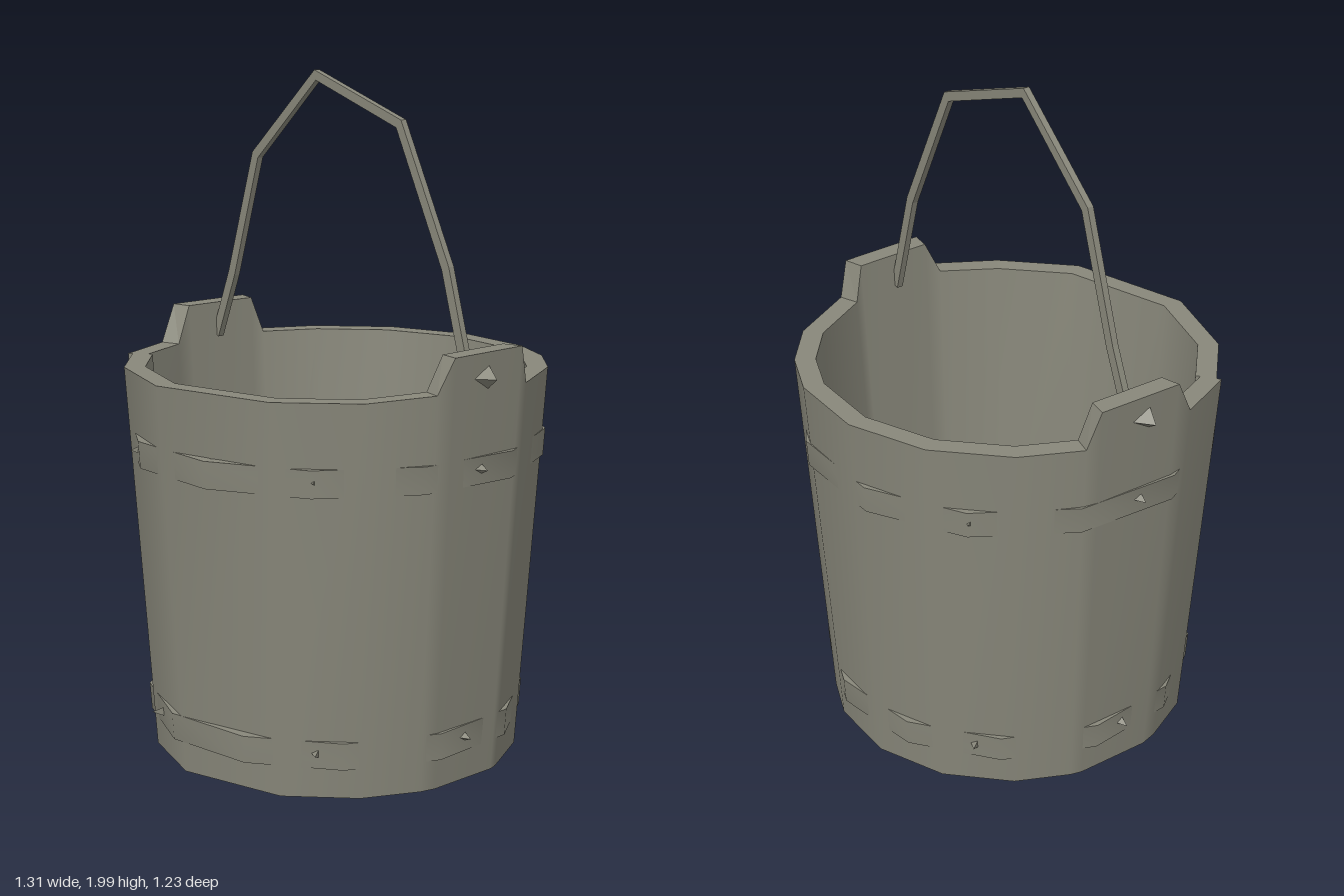
import * as THREE from 'three';
import { mergeGeometries, toCreasedNormals } from 'three/addons/utils/BufferGeometryUtils.js';

const wood = new THREE.MeshStandardMaterial({ color: 0x88877a });
wood.name = 'weathered wood';

const RIM = 1.15, EAR = 1.26, WALL = 0.062;
const outerRadius = (y) => 0.54 + 0.07 * y;
const ringPoint = (deg, r, y) => {
  const a = THREE.MathUtils.degToRad(deg);
  return new THREE.Vector3(Math.cos(a) * r, y, Math.sin(a) * r);
};

// Band of quads between two rows of points, smooth or faceted
function strip(a, b, smooth) {
  let g = new THREE.BufferGeometry().setFromPoints([...a, ...b]);
  const n = a.length, index = [];
  for (let i = 0; i < n - 1; i++) index.push(i, n + i, i + 1, i + 1, n + i, n + i + 1);
  g.setIndex(index);
  if (smooth) g.computeVertexNormals();
  g = g.toNonIndexed();
  if (!smooth) g.computeVertexNormals();
  return g;
}

// Tapered wall: uneven staves, two raised ears, and a lapped seam at the front
function wallGeometry() {
  const columns = [ // angle from +x towards +z, top height
    [144, RIM], [163, RIM], [169, EAR], [194, EAR], [198, RIM],
    [216, RIM], [239, RIM], [263, RIM], [287, RIM], [303, RIM], [320, RIM],
    [343, RIM], [346, EAR], [371, EAR], [376, RIM + 0.01],
    [395, RIM], [419, RIM], [456, RIM], [484, RIM], [504, RIM],
  ];
  const rows = [[], [], [], []]; // bottom outer, top outer, top inner, bottom inner
  columns.forEach(([deg, top], i) => {
    const lap = i === 0 ? 0.014 : 0;
    const r = outerRadius(top) + lap - (top > 1.2 ? 0.004 : 0);
    rows[0].push(ringPoint(deg, outerRadius(0) + lap * 0.4, 0));
    rows[1].push(ringPoint(deg, r, top));
    rows[2].push(ringPoint(deg, r - WALL, top));
    rows[3].push(ringPoint(deg, 0.485, 0));
  });
  const parts = rows.map((row, i) => strip(row, rows[(i + 1) % 4], i % 2 === 0));
  const end = (i) => rows.map((row) => row[i]);
  const [a, b, c, d] = end(0), [e, f, g, h] = end(columns.length - 1);
  parts.push(strip([a, b], [d, c], false), strip([e, h], [f, g], false));
  return mergeGeometries(parts);
}

// Rectangular hoop hugging the wall
function hoopGeometry(y0, y1, proud, sides, phase) {
  const r0 = outerRadius(y0) + proud, r1 = outerRadius(y1) + proud, t = 0.035;
  const profile = [[r0 - t, y0], [r0, y0], [r1, y1], [r1 - t, y1], [r0 - t, y0]]
    .map(([x, y]) => new THREE.Vector2(x, y));
  return toCreasedNormals(new THREE.LatheGeometry(profile, sides, phase), 0.7);
}

// Bent strap from a centre line, thickened with mitred corners
function handleGeometry() {
  const line = [[-0.55, 1.16], [-0.47, 1.36], [-0.355, 1.73], [-0.085, 1.98],
    [0.265, 1.862], [0.455, 1.475], [0.545, 1.16]].map(([x, y]) => new THREE.Vector2(x, y));
  const half = 0.015;
  const side = (s) => line.map((p, i) => {
    const d0 = p.clone().sub(line[Math.max(i - 1, 0)]).normalize();
    const d1 = line[Math.min(i + 1, line.length - 1)].clone().sub(p).normalize();
    const d = d0.add(d1).normalize();
    return new THREE.Vector2(p.x - d.y * half * s, p.y + d.x * half * s);
  });
  const shape = new THREE.Shape([...side(1), ...side(-1).reverse()]);
  return new THREE.ExtrudeGeometry(shape, { depth: 0.02, bevelEnabled: false }).translate(0, 0, -0.015);
}

export function createModel() {
  const group = new THREE.Group();
  group.name = 'bucket';
  const add = (name, geometry) => {
    const mesh = new THREE.Mesh(geometry, wood);
    mesh.name = name;
    group.add(mesh);
    return mesh;
  };

  add('wall', wallGeometry());
  add('floor', toCreasedNormals(new THREE.CylinderGeometry(0.492, 0.488, 0.04, 15), 0.6)).position.y = 0.06;
  add('upperHoop', hoopGeometry(0.885, 0.965, 0.008, 12, 0.2));
  add('lowerHoop', hoopGeometry(0.09, 0.17, 0.009, 12, 0.35));
  add('handle', handleGeometry());

  // Three-sided nails pointing outwards
  const nail = (name, deg, r, y, size, length) => {
    const g = new THREE.ConeGeometry(size, length, 3).toNonIndexed();
    g.computeVertexNormals();
    g.rotateZ(-Math.PI / 2);
    const m = add(name, g);
    m.position.copy(ringPoint(deg, r, y));
    m.rotation.y = -THREE.MathUtils.degToRad(deg);
  };
  for (const deg of [0, 48, 113, 180, 228]) {
    nail('upperNail', deg, 0.605, 0.93, 0.02, 0.04);
    nail('lowerNail', deg, 0.553, 0.135, 0.018, 0.04);
  }
  // Pegs holding the handle in the ears
  for (const deg of [0, 180]) nail('handlePeg', deg, 0.625, 1.19, 0.045, 0.06);
  return group;
}
